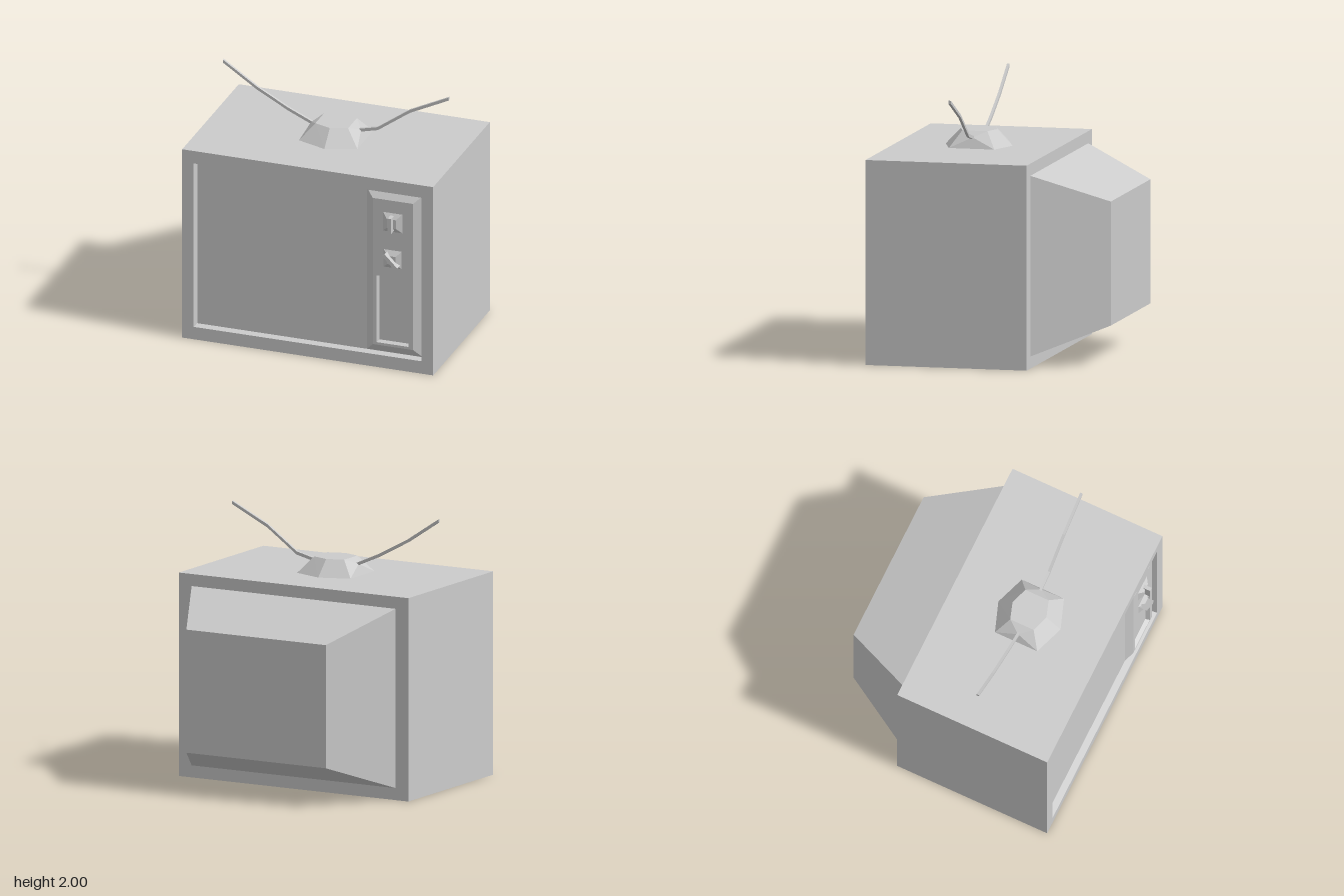
import * as THREE from 'three';
import { ConvexGeometry } from 'three/addons/geometries/ConvexGeometry.js';

const material = new THREE.MeshStandardMaterial({ color: 0xcccccc, flatShading: true });

function part(name, geometry) {
  const mesh = new THREE.Mesh(geometry, material);
  mesh.name = name;
  return mesh;
}

// Skin over a chain of rectangles [x0, x1, y0, y1, z], capped at both ends.
function loft(rects) {
  const corners = rects.map(([x0, x1, y0, y1, z]) =>
    [[x0, y0, z], [x1, y0, z], [x1, y1, z], [x0, y1, z]]);
  const positions = [];
  const quad = (a, b, c, d) => positions.push(...a, ...b, ...c, ...a, ...c, ...d);
  for (let i = 0; i + 1 < corners.length; i++) {
    const a = corners[i], b = corners[i + 1];
    for (let j = 0; j < 4; j++) {
      const k = (j + 1) % 4;
      quad(a[j], a[k], b[k], b[j]);
    }
  }
  const first = corners[0], last = corners[corners.length - 1];
  quad(first[3], first[2], first[1], first[0]);
  quad(last[0], last[1], last[2], last[3]);
  const geometry = new THREE.BufferGeometry();
  geometry.setAttribute('position', new THREE.Float32BufferAttribute(positions, 3));
  geometry.computeVertexNormals();
  return geometry;
}

// Pyramid-shaped dial with a flat finger grip.
function knob(name, y, half, angle, gripLength, front) {
  const group = new THREE.Group();
  group.name = name;
  const square = (h, z) => [-h, h, -h, h, z];
  group.add(part('knobBase', loft([square(half, 0.838), square(half * 0.45, 0.868)])));
  const grip = part('knobGrip', new THREE.BoxGeometry(0.028, gripLength, front - 0.845));
  grip.position.z = (front + 0.845) / 2;
  grip.rotation.z = angle;
  group.add(grip);
  group.position.set(0.66, y, 0);
  return group;
}

// Thin bent rod following a few points in the x-y plane.
function antenna(name, points) {
  const h = 0.012;
  const outline = [
    ...points.map(([x, y]) => new THREE.Vector2(x, y - h)),
    ...points.slice().reverse().map(([x, y]) => new THREE.Vector2(x, y + h)),
  ];
  const geometry = new THREE.ExtrudeGeometry(new THREE.Shape(outline), { depth: 0.02, bevelEnabled: false });
  geometry.translate(0, 0, 0.228);
  return part(name, geometry);
}

export function createModel() {
  const model = new THREE.Group();
  model.name = 'television';

  // Cabinet with a bevelled opening sunk to the screen
  model.add(part('cabinet', loft([
    [-0.98, 0.98, 0, 1.52, -0.37],
    [-0.98, 0.98, 0, 1.52, 0.85],
    [-0.89, 0.89, 0.1, 1.42, 0.85],
    [-0.88, 0.88, 0.11, 1.41, 0.8],
  ])));

  // Tapered housing behind the cabinet
  model.add(part('rearHousing', loft([
    [-0.595, 0.595, 0.3, 1.22, -0.91],
    [-0.87, 0.87, 0.09, 1.43, -0.37],
  ])));

  // Raised control panel with a sunken door
  model.add(part('controlPanel', loft([
    [0.445, 0.88, 0.11, 1.41, 0.799],
    [0.505, 0.82, 0.175, 1.355, 0.84],
    [0.535, 0.785, 0.195, 0.735, 0.84],
    [0.547, 0.773, 0.207, 0.723, 0.81],
  ])));

  model.add(knob('upperKnob', 1.18, 0.078, 0, 0.12, 0.91));
  model.add(knob('lowerKnob', 0.885, 0.073, Math.PI / 4, 0.14, 0.905));

  // Faceted antenna base: two hexagons and a socket point on each side
  const basePoints = [];
  const ring = (x, zSide, zTip, y) => {
    for (const s of [-1, 1]) {
      basePoints.push(new THREE.Vector3(0, y, 0.237 + s * zTip));
      for (const t of [-1, 1]) basePoints.push(new THREE.Vector3(s * x, y, 0.237 + t * zSide));
    }
  };
  ring(0.228, 0.172, 0.253, 1.52);
  ring(0.128, 0.095, 0.138, 1.64);
  for (const s of [-1, 1]) basePoints.push(new THREE.Vector3(s * 0.195, 1.6, 0.237));
  model.add(part('antennaBase', new ConvexGeometry(basePoints)));

  model.add(antenna('rightAntenna', [[-0.88, 1.988], [-0.62, 1.815], [-0.37, 1.68], [-0.18, 1.595]]));
  model.add(antenna('leftAntenna', [[0.18, 1.595], [0.33, 1.632], [0.58, 1.81], [0.88, 1.955]]));

  return model;
}
